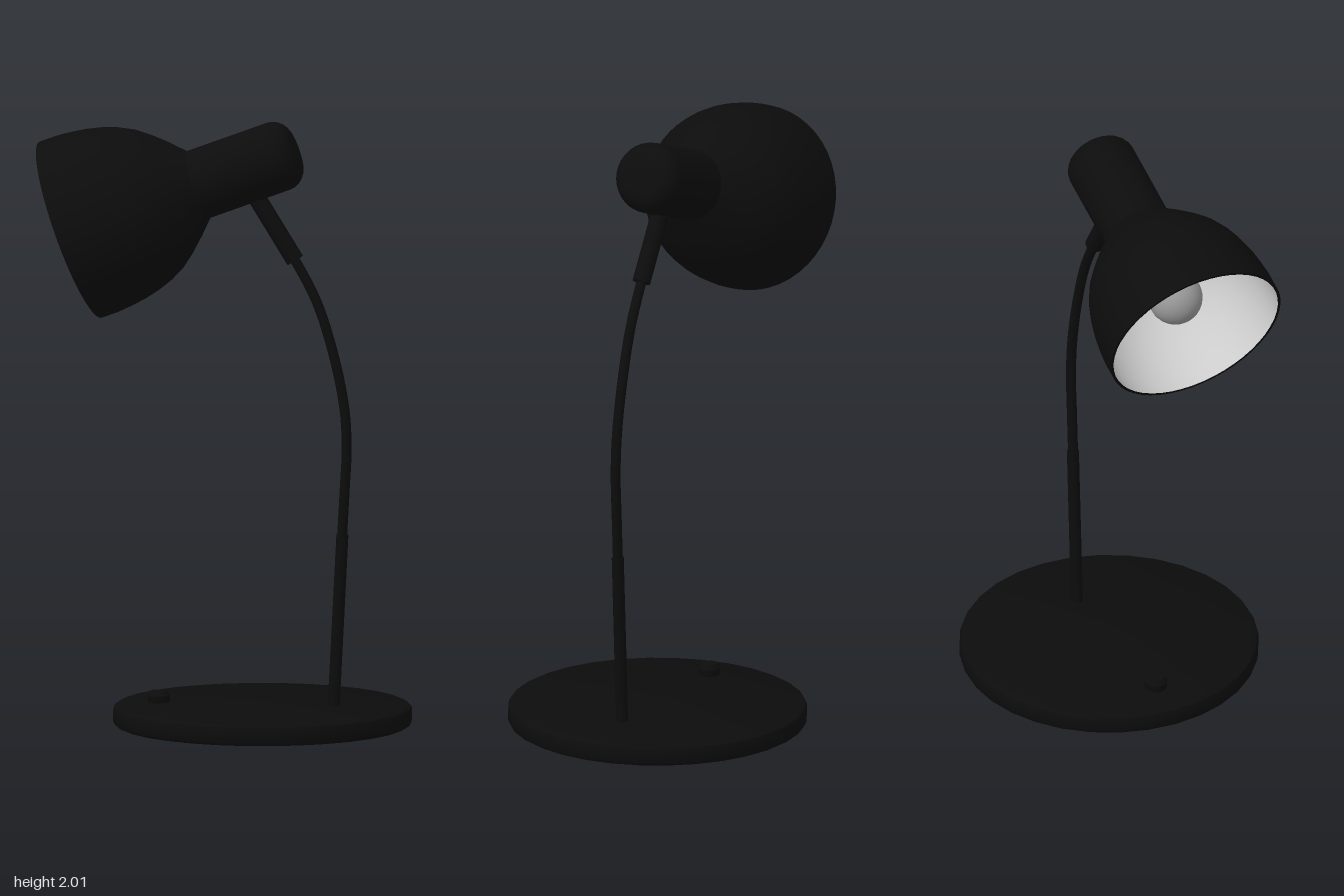
import * as THREE from 'three';
import { toCreasedNormals } from 'three/addons/utils/BufferGeometryUtils.js';

const mat = (color) => new THREE.MeshStandardMaterial({ color });
const black = mat(0x0c0c0c);
const grey = mat(0xcccccc);
const bulbGrey = mat(0x999999);

function add(parent, name, geometry, material = black) {
  const mesh = new THREE.Mesh(geometry, material);
  mesh.name = name;
  parent.add(mesh);
  return mesh;
}

// Turned solid from [radius, height] pairs, listed bottom to top
function turned(profile, sides, crease = 0.6) {
  const points = profile.map(([r, y]) => new THREE.Vector2(r, y));
  return toCreasedNormals(new THREE.LatheGeometry(points, sides), crease);
}

// Straight rod between two points in the x-y plane
function rod(parent, name, a, b, radius) {
  const dx = b[0] - a[0], dy = b[1] - a[1];
  const mesh = add(parent, name, new THREE.CylinderGeometry(radius, radius, Math.hypot(dx, dy), 20));
  mesh.position.set((a[0] + b[0]) / 2, (a[1] + b[1]) / 2, 0);
  mesh.rotation.z = Math.atan2(-dx, dy);
}

export function createModel() {
  const lamp = new THREE.Group();
  lamp.name = 'deskLamp';

  // Round foot with softened edges
  const base = add(lamp, 'base', turned([
    [0, 0], [0.475, 0], [0.488, 0.007], [0.493, 0.018],
    [0.493, 0.052], [0.488, 0.063], [0.475, 0.07], [0, 0.07],
  ], 32));
  base.position.x = 0.125;

  // Push switch on the foot
  const button = add(lamp, 'switchButton', turned([
    [0, 0.06], [0.03, 0.06], [0.037, 0.075], [0.037, 0.094], [0.026, 0.108], [0, 0.108],
  ], 16));
  button.position.x = -0.22;

  // Stem: thicker lower tube, straight run, then a bend up to the head
  rod(lamp, 'lowerStem', [0.36, 0.05], [0.39, 0.64], 0.02);
  const bend = new THREE.CatmullRomCurve3([
    [0.387, 0.6], [0.397, 0.78], [0.404, 0.93], [0.396, 1.06],
    [0.362, 1.23], [0.305, 1.41], [0.233, 1.548], [0.2, 1.6],
  ].map(([x, y]) => new THREE.Vector3(x, y, 0)));
  add(lamp, 'curvedStem', new THREE.TubeGeometry(bend, 48, 0.0165, 16));
  rod(lamp, 'stemSleeve', [0.233, 1.548], [0.065, 1.82], 0.03);

  // Head: local y runs from the shade opening to the back of the neck
  const head = new THREE.Group();
  head.name = 'head';
  head.position.set(-0.5125, 1.635, 0);
  head.rotation.z = -1.213;
  lamp.add(head);

  const shade = [
    [0.3075, 0], [0.3075, 0.06], [0.303, 0.11], [0.296, 0.16], [0.284, 0.21],
    [0.267, 0.26], [0.242, 0.31], [0.208, 0.355], [0.168, 0.4], [0.117, 0.452],
  ];
  add(head, 'shade', turned([[0.298, 0], ...shade], 48));

  // Pale inner lining, listed top to bottom so that it faces inward
  const lining = shade.map(([r, y]) => [r - 0.0095, Math.max(0, y - 0.008)]).reverse();
  add(head, 'shadeLining', turned([[0, 0.444], ...lining], 48), grey);

  // Neck with a rounded back end
  const fillet = [];
  for (let i = 0; i <= 6; i++) {
    const a = (i / 6) * Math.PI / 2;
    fillet.push([0.052 + 0.065 * Math.cos(a), 0.735 + 0.065 * Math.sin(a)]);
  }
  add(head, 'neck', turned([[0, 0.448], [0.117, 0.448], ...fillet, [0, 0.8]], 32));

  // Bulb and its holder inside the shade
  const bulb = add(head, 'bulb', new THREE.SphereGeometry(0.09, 32, 20), bulbGrey);
  bulb.position.y = 0.16;
  add(head, 'bulbHolder', turned([[0.065, 0.21], [0.05, 0.28], [0.045, 0.445]], 24), bulbGrey);

  return lamp;
}
